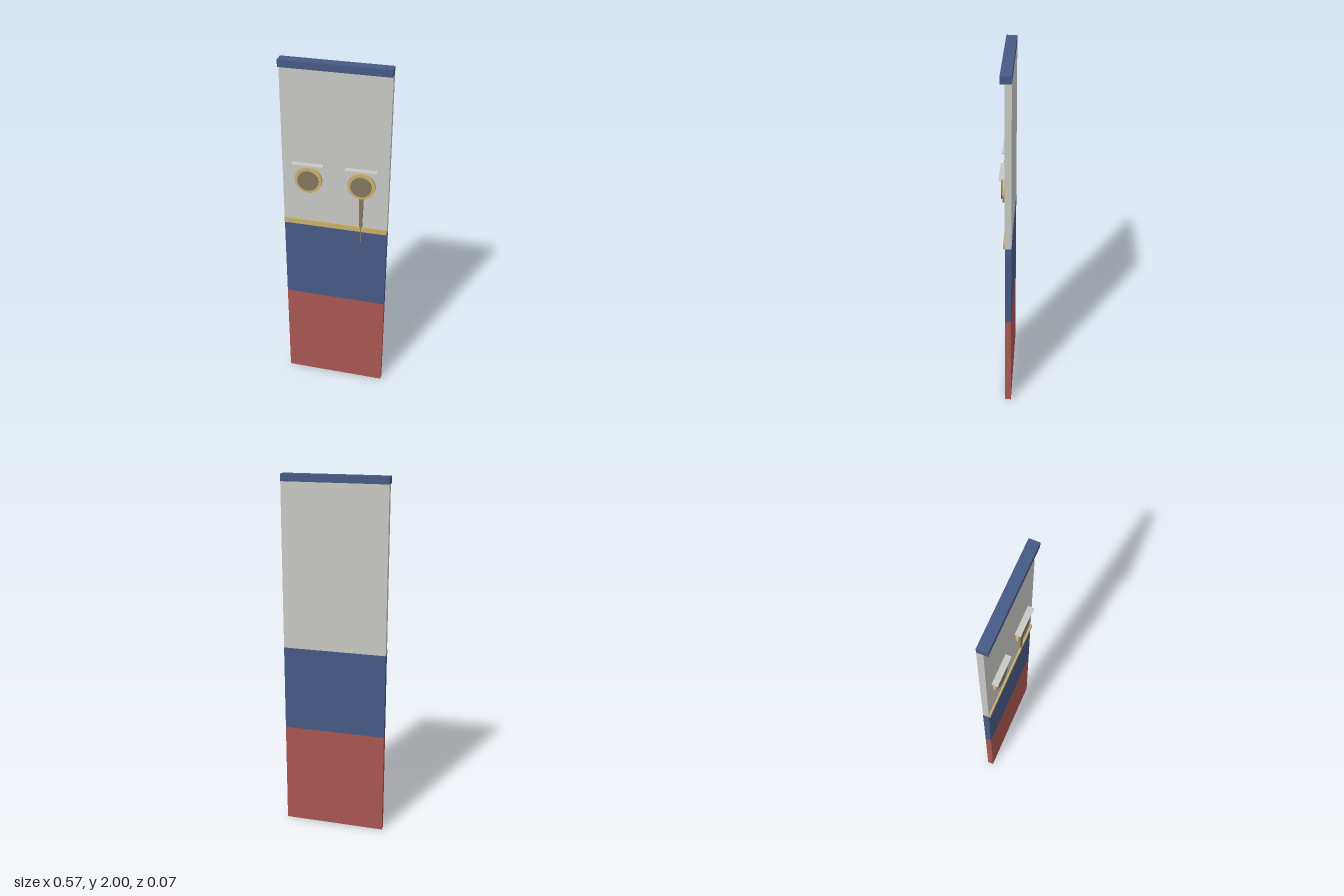
import * as THREE from 'three';

function flat(name, color) {
  const m = new THREE.MeshStandardMaterial({ color });
  m.name = name;
  return m;
}

export function createModel() {
  const group = new THREE.Group();
  group.name = 'hullPanel';
  const white = flat('paintedWhite', 0xc8c8c5);
  const blue = flat('hullBlue', 0x465a85);
  const red = flat('hullRed', 0xaa5752);
  const brass = flat('brass', 0xc9b06c);
  const glass = flat('smokyBrown', 0x83775e);

  const add = (name, geometry, material, parent = group) => {
    const mesh = new THREE.Mesh(geometry, material);
    mesh.name = name;
    parent.add(mesh);
    return mesh;
  };
  // Box given by its limits on each axis
  const box = (name, mat, [x0, x1], [y0, y1], [z0, z1], parent) =>
    add(name, new THREE.BoxGeometry(x1 - x0, y1 - y0, z1 - z0), mat, parent)
      .position.set((x0 + x1) / 2, (y0 + y1) / 2, (z0 + z1) / 2);

  // Wall bands, stacked from the bottom
  const width = [-0.286, 0.286], wall = [-0.034, 0];
  box('lowerHull', red, width, [0, 0.583], wall);
  box('middleHull', blue, width, [0.583, 1.062], wall);
  box('upperWall', white, width, [1.062, 1.962], wall);
  box('topRail', blue, width, [1.962, 2], [-0.034, 0.022]);
  box('rubbingStrake', brass, width, [1.062, 1.092], [0, 0.009]);

  // Portholes with a brass rim, pane and rain shelf
  const disc = (r, depth) => new THREE.CylinderGeometry(r, r, depth, 16)
    .rotateX(Math.PI / 2).translate(0, 0, depth / 2).toNonIndexed();
  for (const side of [-1, 1]) {
    const x = side * 0.143;
    const porthole = new THREE.Group();
    porthole.name = side > 0 ? 'leftPorthole' : 'rightPorthole';
    group.add(porthole);
    add('rim', disc(0.075, 0.016), brass, porthole).position.set(x, 1.345, 0);
    add('pane', disc(0.057, 0.024), glass, porthole).position.set(x, 1.345, 0);
    box('rainShelf', white, [x - 0.086, x + 0.086], [1.434, 1.441], [0, 0.033], porthole);
  }

  // Tapering drip below the left porthole, running over the strake
  const drip = (name, mat, y0, w0, y1, w1, depth) => {
    const shape = new THREE.Shape([
      new THREE.Vector2(-w0 / 2, y0), new THREE.Vector2(w0 / 2, y0),
      new THREE.Vector2(w1 / 2, y1), new THREE.Vector2(-w1 / 2, y1),
    ]);
    add(name, new THREE.ExtrudeGeometry(shape, { depth, bevelEnabled: false }), mat)
      .position.x = 0.143;
  };
  drip('upperDrip', glass, 1.092, 0.015, 1.275, 0.026, 0.007);
  drip('strakeDrip', glass, 1.062, 0.005, 1.092, 0.008, 0.01);
  drip('dripTip', glass, 0.99, 0.004, 1.062, 0.008, 0.004);
  return group;
}
